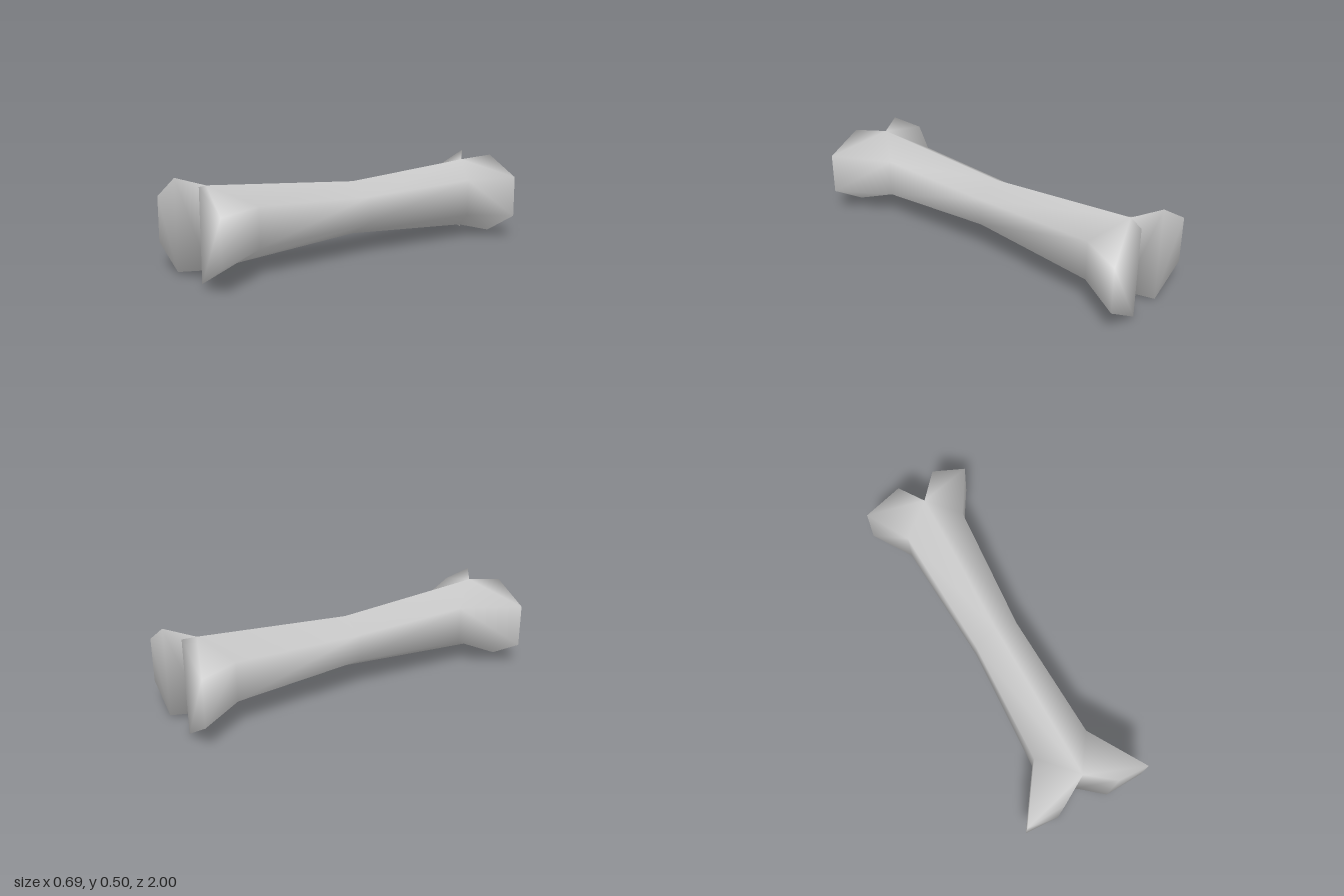
import * as THREE from 'three';

const MID_Y = 0.25;

// Half outline of a cross-section on one side: top, upper side, lower side, bottom
function halfSection(apex, side) {
  return [
    [apex.x, MID_Y + apex.h, apex.z],
    [side.x, MID_Y + side.h, side.z],
    [side.x, MID_Y - side.h, side.z],
    [apex.x, MID_Y - apex.h, apex.z],
  ];
}

export function createModel() {
  const boneGrey = new THREE.MeshStandardMaterial({ color: 0xcccccc });
  boneGrey.name = 'boneGrey';

  const positions = [];
  const indices = [];
  const add = (points) => points.map((p) => positions.push(...p) / 3 - 1);
  const quad = (a, b, c, d, flip) => {
    if (flip) indices.push(a, c, b, a, d, c);
    else indices.push(a, b, c, a, c, d);
  };
  // Joins two outlines with a closed band of quads
  const bridge = (from, to, flip) => {
    const n = from.length;
    for (let i = 0; i < n; i++) {
      const j = (i + 1) % n;
      quad(from[i], to[i], to[j], from[j], flip);
    }
  };

  // Shaft: hexagonal sections, back to front; the end ones are bent at the notch
  const sections = [
    { apex: { x: 0.005, h: 0.206, z: -0.87 }, right: { x: 0.18, h: 0.105, z: -0.75 }, left: { x: -0.17, h: 0.105, z: -0.75 } },
    { apex: { x: 0.005, h: 0.147, z: -0.01 }, right: { x: 0.135, h: 0.074, z: -0.02 }, left: { x: -0.125, h: 0.074, z: 0.0 } },
    { apex: { x: 0.01, h: 0.209, z: 0.89 }, right: { x: 0.16, h: 0.105, z: 0.69 }, left: { x: -0.15, h: 0.105, z: 0.69 } },
  ];
  const rings = sections.map((s) => {
    const right = halfSection(s.apex, s.right);
    const left = halfSection(s.apex, s.left);
    return add([...right, left[2], left[1]]);
  });
  bridge(rings[0], rings[1], false);
  bridge(rings[1], rings[2], false);

  // Four knuckles: each half of an end section flares out to a capped tip
  const knuckles = [
    { ring: 2, side: 1, apex: { x: 0.15, h: 0.228, z: 1 }, outer: { x: 0.346, h: 0.115, z: 1 } },
    { ring: 2, side: -1, apex: { x: -0.145, h: 0.236, z: 0.98 }, outer: { x: -0.349, h: 0.119, z: 0.98 } },
    { ring: 0, side: 1, apex: { x: 0.123, h: 0.237, z: -1 }, outer: { x: 0.325, h: 0.118, z: -1 } },
    { ring: 0, side: -1, apex: { x: -0.097, h: 0.249, z: -0.985 }, outer: { x: -0.313, h: 0.124, z: -0.985 } },
  ];
  for (const k of knuckles) {
    const r = rings[k.ring];
    const base = k.side > 0 ? [r[0], r[1], r[2], r[3]] : [r[0], r[5], r[4], r[3]];
    const tip = add(halfSection(k.apex, k.outer));
    const flip = (k.ring === 2) !== (k.side > 0);
    bridge(base, tip, flip);
    quad(tip[3], tip[2], tip[1], tip[0], flip);
  }

  const geometry = new THREE.BufferGeometry();
  geometry.setAttribute('position', new THREE.Float32BufferAttribute(positions, 3));
  geometry.setIndex(indices);
  geometry.computeVertexNormals();

  const bone = new THREE.Mesh(geometry, boneGrey);
  bone.name = 'bone';
  const group = new THREE.Group();
  group.name = 'boneModel';
  group.add(bone);
  return group;
}
